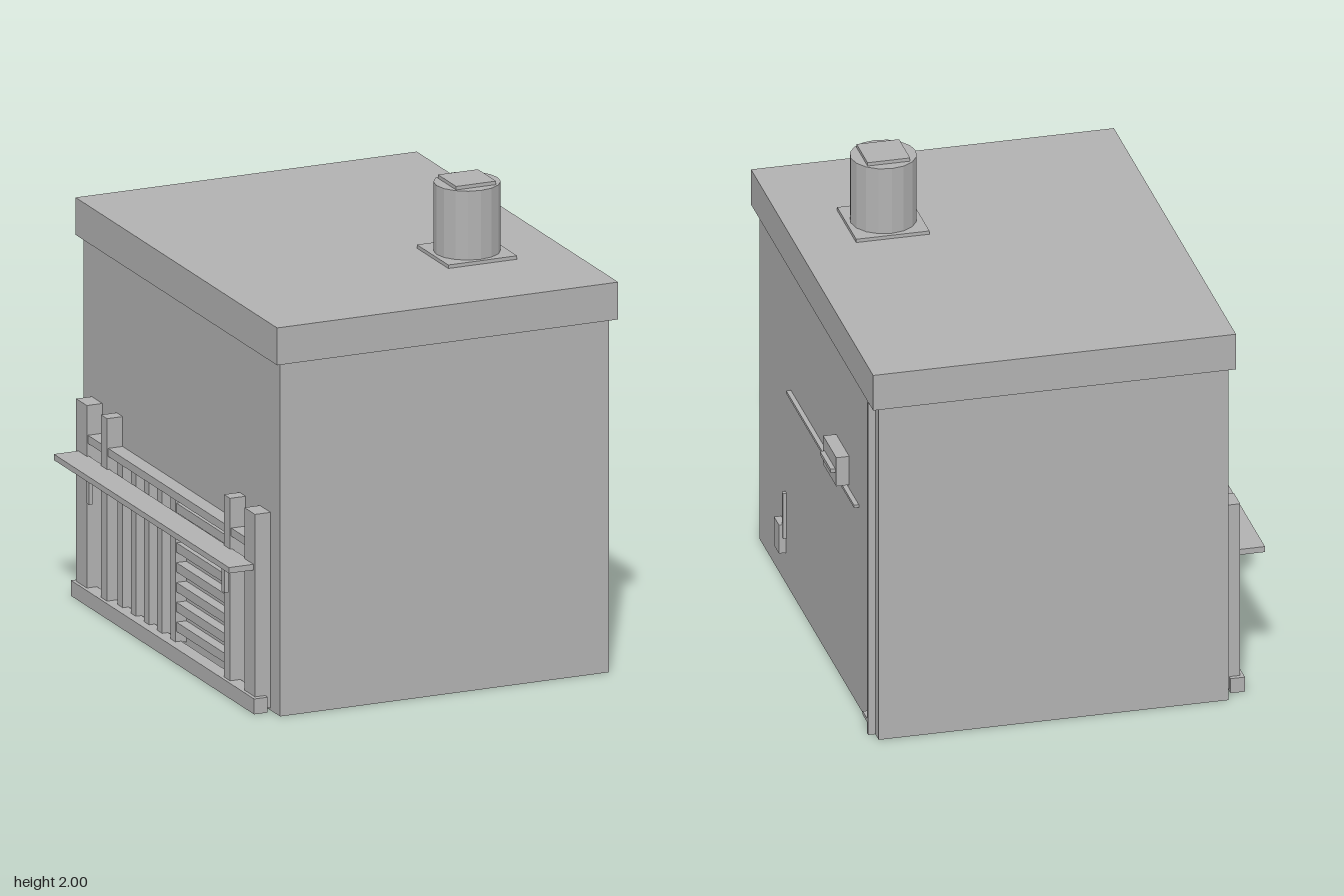
import * as THREE from 'three';

export function createModel() {
  const model = new THREE.Group();
  model.name = 'hut';
  const grey = new THREE.MeshStandardMaterial({ color: 0xb2b2b2 });
  grey.name = 'plain grey';

  // Box given by its extents along each axis
  const box = (name, x0, x1, y0, y1, z0, z1, parent = model) => {
    const mesh = new THREE.Mesh(new THREE.BoxGeometry(x1 - x0, y1 - y0, z1 - z0), grey);
    mesh.name = name;
    mesh.position.set((x0 + x1) / 2, (y0 + y1) / 2, (z0 + z1) / 2);
    parent.add(mesh);
    return mesh;
  };
  const group = (name) => {
    const g = new THREE.Group();
    g.name = name;
    model.add(g);
    return g;
  };

  // Main volume
  box('walls', -0.69, 0.79, 0, 1.52, -0.97, 0.97);
  box('roof', -0.715, 0.82, 1.515, 1.675, -0.995, 0.995);

  // Chimney on the roof
  const chimney = group('chimney');
  const cx = 0.42, cz = 0.38;
  box('chimneyBase', cx - 0.155, cx + 0.155, 1.67, 1.69, cz - 0.155, cz + 0.155, chimney);
  const stackGeometry = new THREE.CylinderGeometry(0.138, 0.138, 0.295, 16).toNonIndexed();
  stackGeometry.computeVertexNormals();
  const stack = new THREE.Mesh(stackGeometry, grey);
  stack.name = 'chimneyStack';
  stack.position.set(cx, 1.8375, cz);
  chimney.add(stack);
  box('chimneyCap', cx - 0.09, cx + 0.09, 1.98, 2.0, cz - 0.09, cz + 0.09, chimney);

  // Fittings on the +x wall
  const fittings = group('wallFittings');
  box('downpipe', 0.785, 0.82, 0, 1.52, -0.915, -0.893, fittings);
  box('downpipeOutlet', 0.785, 0.82, 0.05, 0.066, -0.9, -0.825, fittings);
  box('wallLamp', 0.785, 0.845, 0.935, 1.065, -0.49, -0.277, fittings);
  box('lampLedge', 0.84, 0.865, 0.992, 1.008, -0.475, -0.3, fittings);
  box('wallConduit', 0.785, 0.81, 0.905, 0.918, -0.645, 0.46, fittings);
  box('socketBox', 0.785, 0.82, 0.14, 0.27, 0.54, 0.62, fittings);
  box('socketConduit', 0.785, 0.805, 0.21, 0.415, 0.53, 0.552, fittings);

  // Counter frame on the -x wall
  const counter = group('counter');
  box('baseRail', -0.775, -0.714, 0, 0.066, -0.91, 0.9, counter);
  box('topRail', -0.755, -0.685, 0.685, 0.72, -0.87, 0.86, counter);
  const posts = [[-0.89, -0.785], [-0.645, -0.585], [0.57, 0.63], [0.77, 0.875]];
  for (const [z0, z1] of posts) box('framePost', -0.76, -0.685, 0.01, 0.848, z0, z1, counter);
  box('shelf', -0.87, -0.75, 0.605, 0.63, -0.87, 0.86, counter);
  for (const z of [-0.67, 0.67]) {
    box('shelfBracket', -0.81, -0.793, 0.465, 0.61, z - 0.015, z + 0.015, counter);
  }

  // Upright slats beside a louvred vent
  for (let i = 0; i < 5; i++) {
    const z = -0.5 + i * 0.13;
    box('uprightSlat', -0.74, -0.685, 0.06, 0.69, z - 0.025, z + 0.025, counter);
  }
  for (let i = 0; i < 7; i++) {
    const y = 0.11 + i * 0.085;
    box('louvre', -0.735, -0.685, y, y + 0.04, 0.04, 0.57, counter);
  }
  return model;
}
